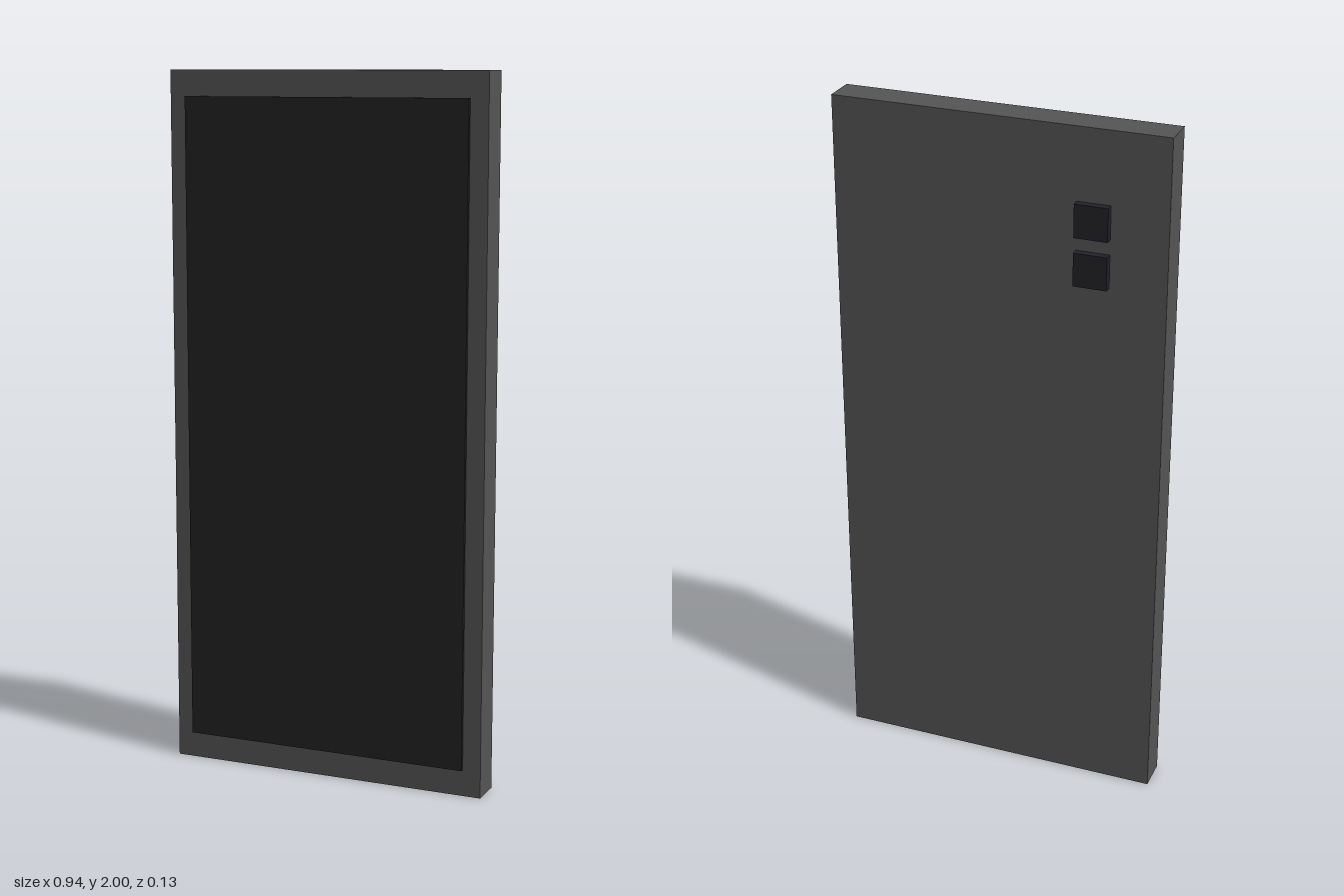
import * as THREE from 'three';

// Box given by its minimum and maximum corners
function box(name, min, max, color) {
  const size = max.map((v, i) => v - min[i]);
  const mesh = new THREE.Mesh(
    new THREE.BoxGeometry(...size),
    new THREE.MeshStandardMaterial({ color })
  );
  mesh.position.set(...min.map((v, i) => (v + max[i]) / 2));
  mesh.name = name;
  return mesh;
}

export function createModel() {
  const phone = new THREE.Group();
  phone.name = 'phone';

  // Slab body
  phone.add(box('body', [-0.472, 0, -0.045], [0.472, 2, 0.05], 0x555555));

  // Thin screen panel, standing just clear of the front face
  phone.add(box('screen', [-0.421, 0.077, 0.054], [0.421, 1.927, 0.064], 0x222222));

  // Two square camera lenses on the back, one above the other
  const lenses = new THREE.Group();
  lenses.name = 'cameraLenses';
  [['upperLens', 1.703], ['lowerLens', 1.567]].forEach(([name, y]) => {
    lenses.add(box(name, [-0.313, y, -0.067], [-0.219, y + 0.094, -0.045], 0x222228));
  });
  phone.add(lenses);

  return phone;
}
